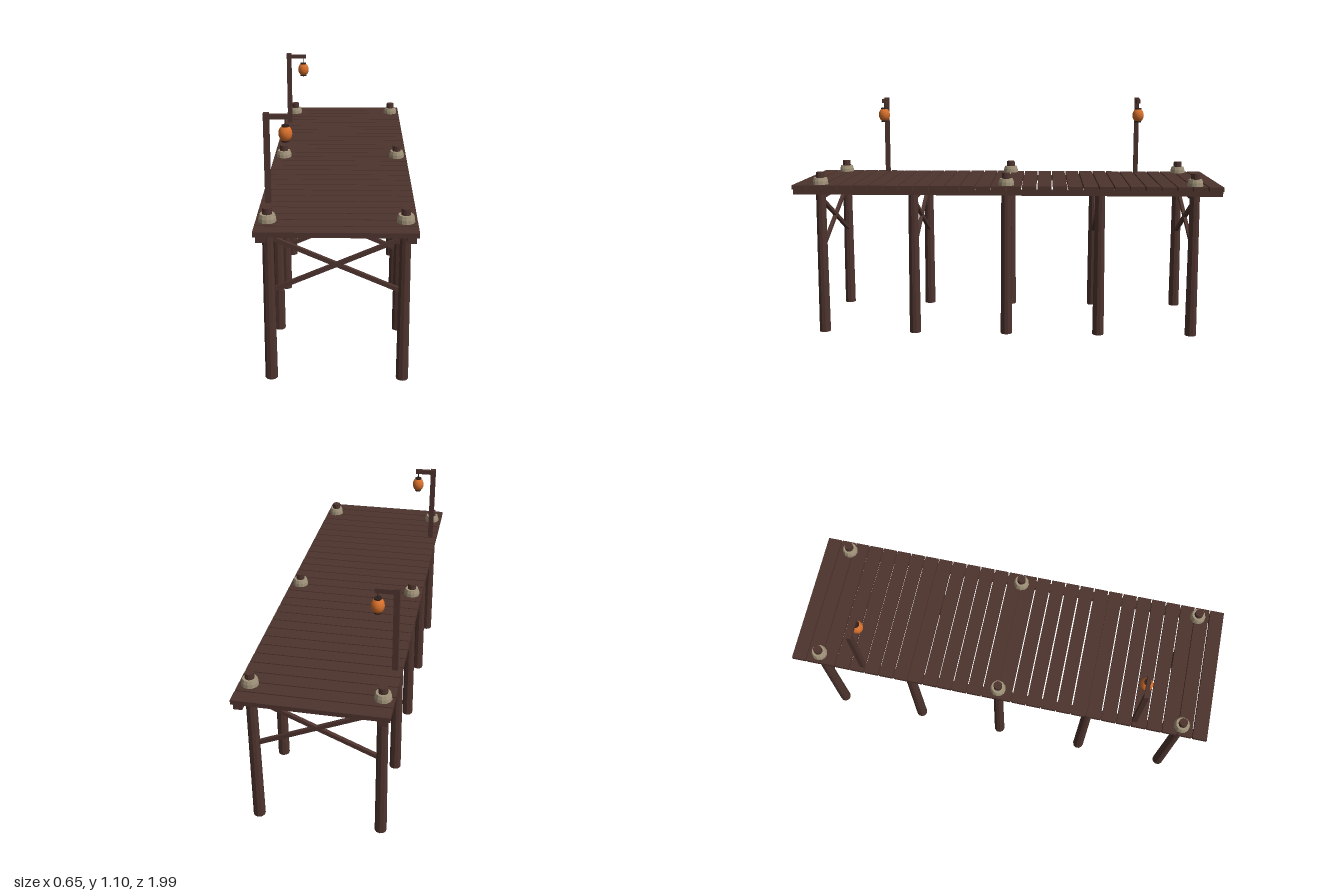
import * as THREE from 'three';

export function createModel() {
  const model = new THREE.Group();
  model.name = 'pier';

  const mat = (name, color, flat = true) => {
    const m = new THREE.MeshStandardMaterial({ color, flatShading: flat });
    m.name = name;
    return m;
  };
  const wood = mat('brown wood', 0x4e342e);
  const iron = mat('dark metal', 0x2e211d);
  const rope = mat('tan rope', 0xa1937a);
  const paper = mat('orange paper', 0xd8702c, false);

  const add = (name, geometry, material, x, y, z, parent = model) => {
    const mesh = new THREE.Mesh(geometry, material);
    mesh.name = name;
    mesh.position.set(x, y, z);
    parent.add(mesh);
    return mesh;
  };
  const box = (w, h, d) => new THREE.BoxGeometry(w, h, d);
  const cyl = (top, bottom, h, sides = 10) => new THREE.CylinderGeometry(top, bottom, h, sides);

  // Deck planks with narrow gaps
  const count = 28, pitch = 2 / count;
  const plank = box(0.65, 0.021, pitch - 0.006);
  for (let i = 0; i < count; i++) {
    add('plank', plank, wood, 0, 0.701, -1 + pitch * (i + 0.5));
  }

  // Long beams under both edges of the deck
  for (const s of [-1, 1]) add('stringer', box(0.038, 0.024, 1.99), wood, s * 0.295, 0.679, 0);

  // Five bents: two piles, a cross beam and crossed braces
  const pile = cyl(0.023, 0.027, 0.685);
  const beam = box(0.555, 0.038, 0.036);
  const rise = 0.236, run = 0.54;
  const brace = box(Math.hypot(rise, run), 0.018, 0.016);
  for (let i = -2; i <= 2; i++) {
    const z = i * 0.4365;
    add('crossBeam', beam, wood, 0, 0.665, z);
    for (const s of [-1, 1]) {
      add('pile', pile, wood, s * 0.277, 0.3425, z);
      add('brace', brace, wood, 0, 0.524, z).rotation.z = s * Math.atan2(rise, run);
    }
  }

  // Mooring posts wrapped in rope
  const ropeWrap = new THREE.LatheGeometry(
    [[0.018, 0.711], [0.037, 0.711], [0.036, 0.727], [0.031, 0.743], [0.018, 0.743]]
      .map(([r, y]) => new THREE.Vector2(r, y)), 12);
  for (const z of [-0.873, 0, 0.873]) {
    for (const s of [-1, 1]) {
      add('mooringPost', cyl(0.02, 0.021, 0.06), wood, s * 0.277, 0.739, z);
      add('ropeWrap', ropeWrap, rope, s * 0.277, 0, z);
    }
  }

  // Lamp posts with hanging lanterns
  const shade = new THREE.LatheGeometry(
    [[0.014, -0.031], [0.022, -0.024], [0.0275, -0.012], [0.029, 0], [0.0275, 0.012], [0.022, 0.024], [0.014, 0.031]]
      .map(([r, y]) => new THREE.Vector2(r, y)), 12);
  for (const z of [-0.655, 0.655]) {
    const lamp = new THREE.Group();
    lamp.name = 'lampPost';
    lamp.position.z = z;
    model.add(lamp);
    add('post', box(0.025, 0.4, 0.022), wood, -0.293, 0.9, 0, lamp);
    add('arm', box(0.096, 0.021, 0.018), wood, -0.249, 1.084, 0, lamp);
    add('hook', cyl(0.002, 0.002, 0.032, 6), iron, -0.215, 1.06, 0, lamp);
    add('lanternShade', shade, paper, -0.215, 1.013, 0, lamp);
    add('lanternTop', cyl(0.016, 0.016, 0.008), iron, -0.215, 1.045, 0, lamp);
    add('lanternBase', cyl(0.016, 0.016, 0.008), iron, -0.215, 0.981, 0, lamp);
  }

  return model;
}
